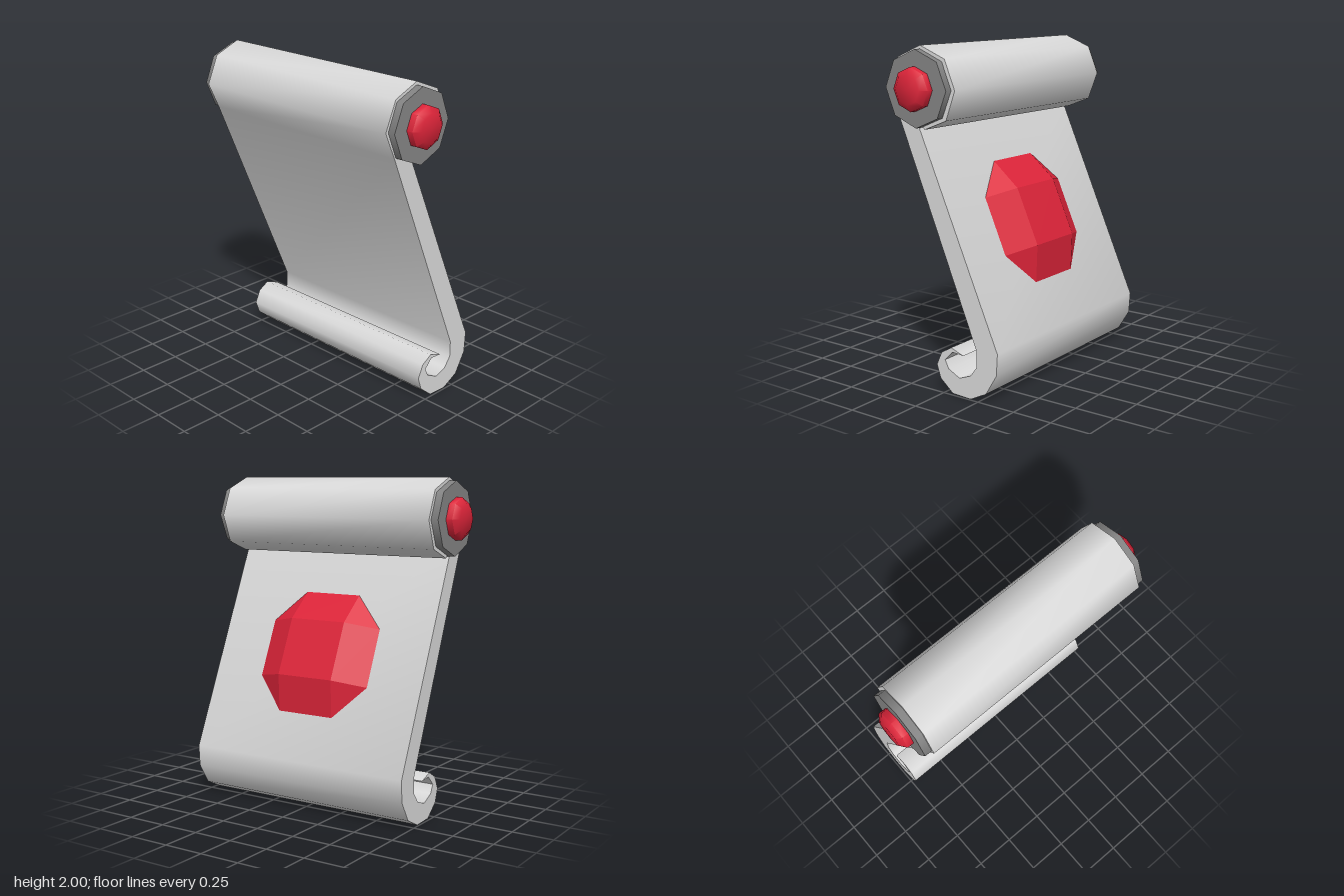
import * as THREE from 'three';
import { toCreasedNormals } from 'three/addons/utils/BufferGeometryUtils.js';
import { ConvexGeometry } from 'three/addons/geometries/ConvexGeometry.js';

const paper = new THREE.MeshStandardMaterial({ name: 'paper', color: 0xdadada });
const core = new THREE.MeshStandardMaterial({ name: 'rollerGrey', color: 0x858585 });
const red = new THREE.MeshStandardMaterial({ name: 'red', color: 0xdc2439 });

const ROLL_X = -0.145, ROLL_Y = 1.76;

function add(parent, name, geometry, material) {
  const mesh = new THREE.Mesh(geometry, material);
  mesh.name = name;
  parent.add(mesh);
  return mesh;
}

export function createModel() {
  const group = new THREE.Group();
  group.name = 'scroll';

  // Sheet: one side profile of roll, slanted page and curled foot
  const profile = [
    // back of the page, down to the inside of the curl
    [-0.31, 1.6], [0.235, 0.3], [0.235, 0.2], [0.19, 0.14], [0.11, 0.11],
    [0.03, 0.15], [0.005, 0.2], [0.06, 0.257],
    // tip and outside of the curl
    [0.14, 0.25], [0.05, 0.282], [-0.02, 0.24], [-0.057, 0.16], [-0.03, 0.08],
    [0.06, 0.005], [0.19, 0], [0.3, 0.055], [0.375, 0.18], [0.383, 0.31],
    // front of the page, up around the roll
    [-0.187, 1.6], [-0.12, 1.53], [0.035, 1.59], [0.1, 1.76], [0.03, 1.93],
    [-0.145, 2], [-0.31, 1.93], [-0.384, 1.76],
  ].map(([x, y]) => new THREE.Vector2(x, y));
  const sheet = new THREE.ExtrudeGeometry(new THREE.Shape(profile), { depth: 1.48, bevelEnabled: false });
  sheet.translate(0, 0, -0.74);
  add(group, 'sheet', toCreasedNormals(sheet, 0.95), paper);

  // Roller core, showing at both ends of the roll
  const roller = new THREE.CylinderGeometry(0.22, 0.22, 1.57, 8);
  roller.rotateX(Math.PI / 2);
  add(group, 'roller', roller, core).position.set(ROLL_X, ROLL_Y, 0);

  // Bevelled end knobs
  const knobProfile = [[0.125, 0.78], [0.125, 0.825], [0.085, 0.855], [0, 0.855]]
    .map(([r, h]) => new THREE.Vector2(r, h));
  for (const side of [1, -1]) {
    const knob = new THREE.LatheGeometry(knobProfile, 8);
    knob.rotateX(side * Math.PI / 2);
    add(group, side > 0 ? 'frontKnob' : 'backKnob', toCreasedNormals(knob, 0.9), red)
      .position.set(ROLL_X, ROLL_Y, 0);
  }

  // Faceted gem: eight-sided base on the page, raised rectangular top
  const half = [
    [-0.053, 1.29, 0.19], [0.031, 1.1, 0.39], [0.177, 0.77, 0.39], [0.263, 0.575, 0.19],
    [0.125, 1.14, 0.19], [0.272, 0.81, 0.19],
  ];
  const gemPoints = half.flatMap(([x, y, z]) => [new THREE.Vector3(x, y, z), new THREE.Vector3(x, y, -z)]);
  add(group, 'gem', new ConvexGeometry(gemPoints), red);

  return group;
}
